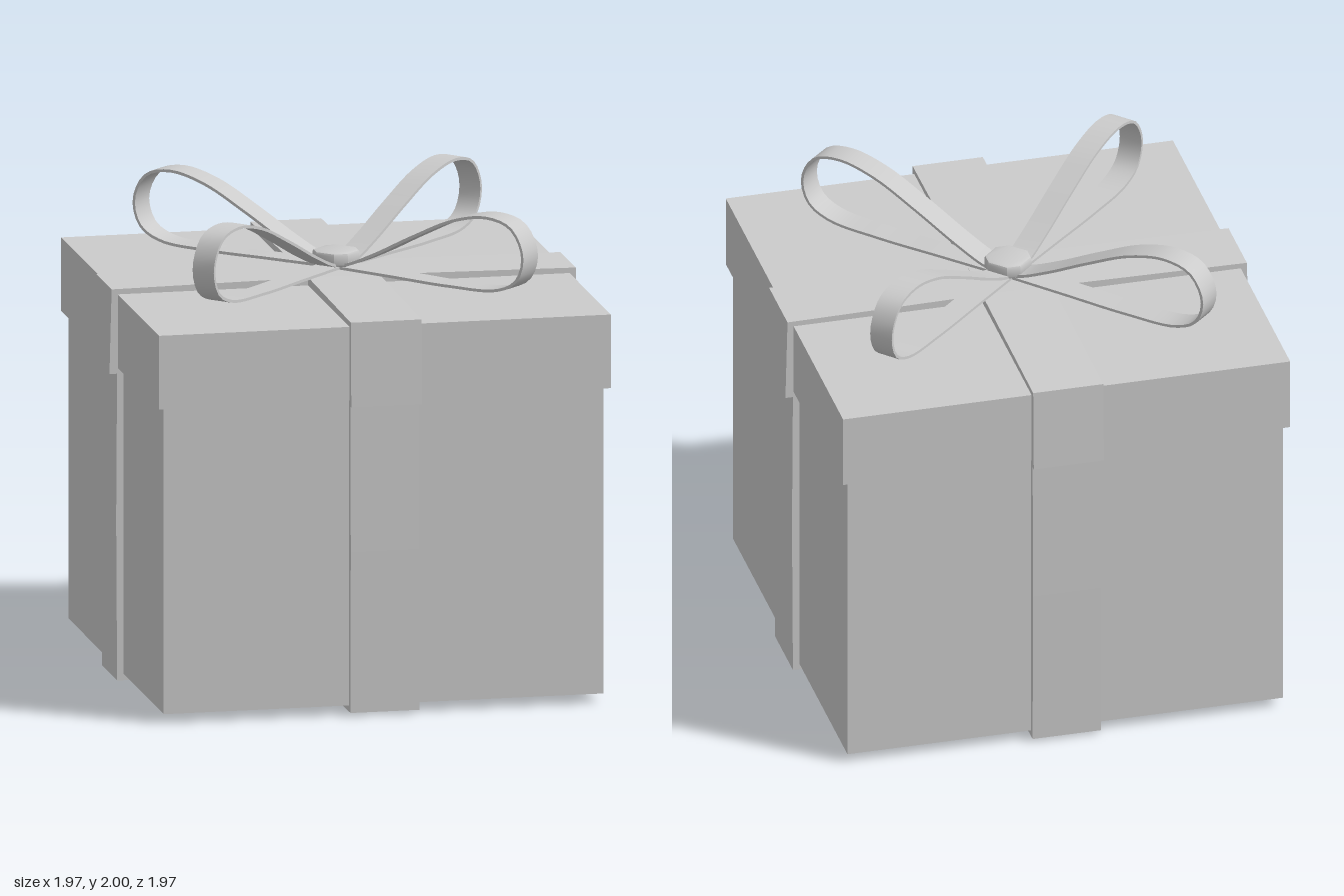
import * as THREE from 'three';
import { toCreasedNormals } from 'three/addons/utils/BufferGeometryUtils.js';

const material = new THREE.MeshStandardMaterial({ color: 0xcccccc });
const RIBBON_WIDTH = 0.29;

function addMesh(parent, name, geometry) {
  const mesh = new THREE.Mesh(geometry, material);
  mesh.name = name;
  parent.add(mesh);
  return mesh;
}

function addBox(parent, name, width, y0, y1) {
  const mesh = addMesh(parent, name, new THREE.BoxGeometry(width, y1 - y0, width));
  mesh.position.y = (y0 + y1) / 2;
}

const toShape = (points) => new THREE.Shape(points.map(([x, y]) => new THREE.Vector2(x, y)));

// Completes a right-hand profile with its mirror image.
const mirrored = (half) => [...half, ...half.map(([x, y]) => [-x, y]).reverse()];

// Extrudes an outline in x-y, centred on z = 0.
function band(shape, width) {
  const geometry = new THREE.ExtrudeGeometry(shape, { depth: width, bevelEnabled: false });
  return geometry.translate(0, 0, -width / 2);
}

// One bow loop: a thin strip that leaves the knot, curls over and returns below.
function bowLoopGeometry() {
  const path = new THREE.CatmullRomCurve3([
    [0, 1.695], [0.08, 1.705], [0.22, 1.765], [0.42, 1.868], [0.62, 1.96], [0.79, 1.993],
    [0.91, 1.96], [0.967, 1.85], [0.935, 1.745], [0.84, 1.695], [0.6, 1.682], [0.3, 1.686], [0, 1.69],
  ].map(([r, y]) => new THREE.Vector3(r, y, 0)));
  const outer = [], inner = [];
  const steps = 64, half = 0.006;
  for (let i = 0; i <= steps; i++) {
    const p = path.getPointAt(i / steps);
    const t = path.getTangentAt(i / steps);
    outer.push([p.x - t.y * half, p.y + t.x * half]);
    inner.push([p.x + t.y * half, p.y - t.x * half]);
  }
  return toCreasedNormals(band(toShape([...outer, ...inner.reverse()]), 0.105), Math.PI / 5);
}

export function createModel() {
  const model = new THREE.Group();
  model.name = 'giftBox';

  addBox(model, 'boxBody', 1.85, 0.04, 1.34);
  addBox(model, 'boxLid', 1.9, 1.33, 1.64);

  // Ribbons: a U under the body and a cap over the lid, in both directions
  const bodyProfile = toShape([
    ...mirrored([[0.145, 0.001], [0.4, 0.007], [0.952, 0.013], [0.956, 0.69], [0.952, 1.335]]),
    ...mirrored([[0.92, 1.335], [0.92, 0.045]]).reverse(),
  ]);
  const lidProfile = toShape([
    ...mirrored([[0.985, 1.306], [0.976, 1.662], [0.145, 1.672]]),
    ...mirrored([[0.945, 1.306], [0.945, 1.635]]).reverse(),
  ]);
  ['X', 'Z'].forEach((axis, i) => {
    const ribbon = new THREE.Group();
    ribbon.name = 'ribbon' + axis;
    ribbon.rotation.y = i * Math.PI / 2;
    ribbon.position.y = i * 0.001;
    addMesh(ribbon, 'bodyRibbon', band(bodyProfile, RIBBON_WIDTH));
    addMesh(ribbon, 'lidRibbon', band(lidProfile, RIBBON_WIDTH + 0.008));
    model.add(ribbon);
  });

  // Bow: four loops towards the corners
  const bow = new THREE.Group();
  bow.name = 'bow';
  const loop = bowLoopGeometry();
  for (const [x, z] of [[0.718, -0.666], [0.66, 0.705], [-0.7, 0.668], [-0.676, -0.705]]) {
    addMesh(bow, 'bowLoop', loop).rotation.y = Math.atan2(-z, x);
  }

  // Knot: a square with cut corners, turned to the diagonals
  const a = 0.08, b = 0.024;
  const knot = new THREE.ExtrudeGeometry(
    toShape([[a, -b], [a, b], [b, a], [-b, a], [-a, b], [-a, -b], [-b, -a], [b, -a]]),
    { depth: 0.035, bevelThickness: 0.012, bevelSize: 0.013, bevelSegments: 2 },
  );
  knot.rotateX(-Math.PI / 2);
  addMesh(bow, 'bowKnot', toCreasedNormals(knot, Math.PI / 6)).position.y = 1.707;
  model.add(bow);

  return model;
}
